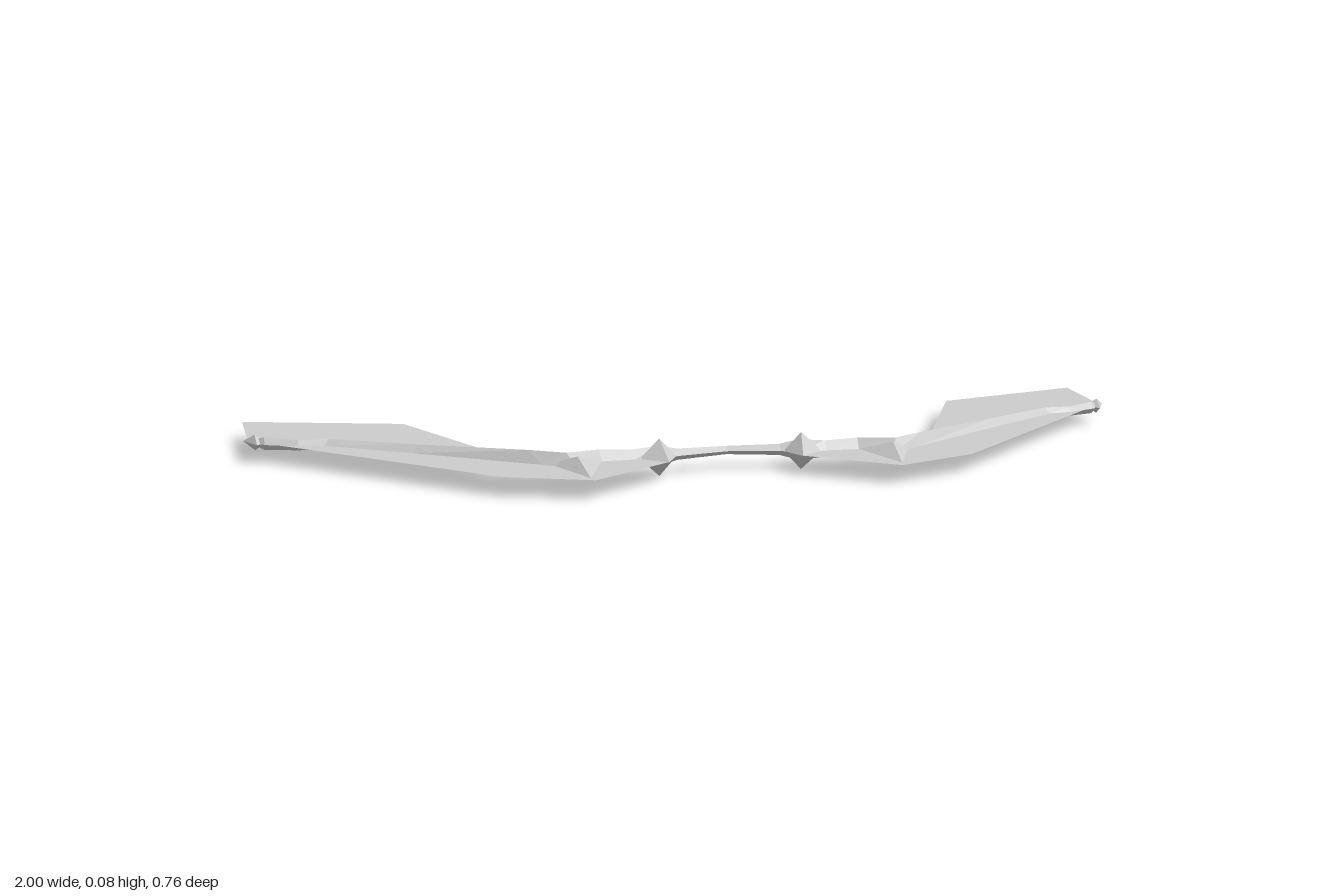
import * as THREE from 'three';
import { ConvexGeometry } from 'three/addons/geometries/ConvexGeometry.js';

const MID = 0.04; // height of the wing plane

// Bone cross-sections on the left wing: back x, back z, front x, front z, half height
const SECTIONS = [
  [0.0, 0.135, 0.0, 0.17, 0.009],
  [0.11, 0.147, 0.11, 0.193, 0.012],
  [0.165, 0.132, 0.14, 0.215, 0.022],
  [0.205, 0.162, 0.205, 0.207, 0.018],
  [0.28, 0.158, 0.275, 0.21, 0.021],
  [0.375, 0.162, 0.335, 0.265, 0.025],
  [0.455, 0.128, 0.4, 0.215, 0.025],
  [0.62, 0.01, 0.645, 0.045, 0.016],
  [0.8, -0.108, 0.825, -0.075, 0.012],
  [0.88, -0.11, 0.88, -0.082, 0.011],
  [0.95, -0.15, 0.95, -0.11, 0.014],
  [0.99, -0.165, 0.99, -0.165, 0],
];

// Membrane outline on the left wing as x, z
const OUTLINE = [
  [0.13, 0.2], [0.145, 0.25], [0.315, 0.38], [0.49, 0.31], [0.985, -0.16],
  [1.0, -0.385], [0.645, -0.28], [0.465, 0.112], [0.165, 0.13],
];

// One continuous diamond-section loft from wing tip to wing tip
function boneGeometry() {
  const right = SECTIONS.slice(1).reverse().map(([bx, bz, fx, fz, h]) => [-bx, bz, -fx, fz, h]);
  const rings = [...right, ...SECTIONS].map(([bx, bz, fx, fz, h]) => {
    const mx = bx + (fx - bx) * 0.62, mz = bz + (fz - bz) * 0.62;
    return [[bx, MID, bz], [mx, MID + h, mz], [fx, MID, fz], [mx, MID - h, mz]];
  });
  const pos = [];
  for (let i = 0; i < rings.length - 1; i++) {
    for (let j = 0; j < 4; j++) {
      const k = (j + 1) % 4, a = rings[i], b = rings[i + 1];
      pos.push(...a[j], ...a[k], ...b[j], ...a[k], ...b[k], ...b[j]);
    }
  }
  const g = new THREE.BufferGeometry();
  g.setAttribute('position', new THREE.Float32BufferAttribute(pos, 3));
  g.computeVertexNormals();
  return g;
}

// Faceted knuckle: rim points in the wing plane, plus a peak above and below
function knuckle(rim, [px, pz, h], s) {
  const pts = rim.map(([x, z]) => new THREE.Vector3(s * x, MID, z));
  pts.push(new THREE.Vector3(s * px, MID + h, pz), new THREE.Vector3(s * px, MID - h, pz));
  return new ConvexGeometry(pts);
}

export function createModel() {
  const model = new THREE.Group();
  model.name = 'wings';
  const grey = new THREE.MeshStandardMaterial({ color: 0xcccccc });
  grey.name = 'wing grey';
  grey.side = THREE.DoubleSide;
  grey.flatShading = true;

  const add = (geometry, name, parent = model) => {
    const mesh = new THREE.Mesh(geometry, grey);
    mesh.name = name;
    parent.add(mesh);
  };

  add(boneGeometry(), 'wingBones');

  for (const s of [1, -1]) {
    const wing = new THREE.Group();
    wing.name = s > 0 ? 'leftWing' : 'rightWing';
    model.add(wing);

    // Flat skin
    const shape = new THREE.Shape(OUTLINE.map(([x, z]) => new THREE.Vector2(s * x, -z)));
    const skin = new THREE.ShapeGeometry(shape);
    skin.rotateX(-Math.PI / 2);
    skin.translate(0, MID, 0);
    add(skin, 'membrane', wing);

    // Shoulder, elbow claw and wing-tip joints
    add(knuckle([[0.115, 0.193], [0.16, 0.135], [0.195, 0.205], [0.142, 0.25]],
      [0.152, 0.196, 0.04], s), 'shoulderJoint', wing);
    add(knuckle([[0.275, 0.208], [0.325, 0.18], [0.385, 0.21], [0.342, 0.27], [0.322, 0.358], [0.312, 0.27]],
      [0.333, 0.262, 0.024], s), 'elbowClaw', wing);
    add(knuckle([[0.945, -0.14], [0.975, -0.187], [0.995, -0.165], [0.965, -0.11]],
      [0.97, -0.142, 0.017], s), 'tipJoint', wing);
  }
  return model;
}
